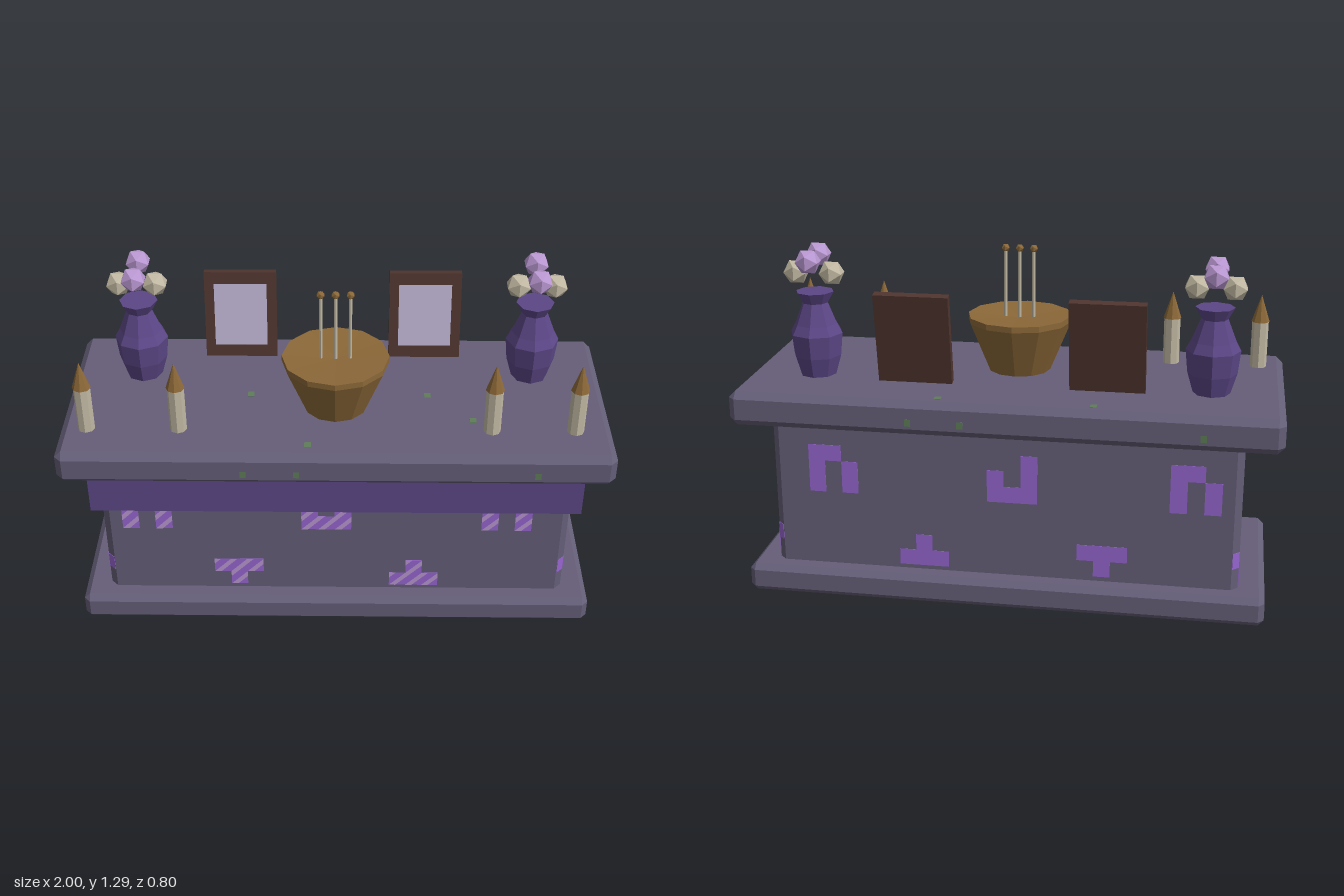
import * as THREE from 'three';
import { ConvexGeometry } from 'three/addons/geometries/ConvexGeometry.js';

const mat = (name, color) => {
  const m = new THREE.MeshStandardMaterial({ color, flatShading: true });
  m.name = name;
  return m;
};

export function createModel() {
  const stone = mat('stone', 0x655e78);
  const violet = mat('violet', 0x5c4787);
  const wax = mat('wax', 0xc2b9a3);
  const bronze = mat('bronze', 0x8b6838);
  const wood = mat('dark wood', 0x4f352f);
  const paper = mat('picture paper', 0xbcb2cf);
  const lilac = mat('lilac', 0xba98d2);
  const rune = mat('rune purple', 0x9765d0);
  const moss = mat('moss', 0x5f7d58);

  const root = new THREE.Group();
  root.name = 'altar';
  const add = (name, geo, material, x = 0, y = 0, z = 0, parent = root) => {
    const mesh = new THREE.Mesh(geo, material);
    mesh.name = name;
    mesh.position.set(x, y, z);
    parent.add(mesh);
    return mesh;
  };
  const group = (name, x = 0, y = 0, z = 0) => {
    const g = new THREE.Group();
    g.name = name;
    g.position.set(x, y, z);
    root.add(g);
    return g;
  };
  const lathe = (pts, sides) =>
    new THREE.LatheGeometry(pts.map(p => new THREE.Vector2(...p)), sides);

  // Box with every edge chamfered, given half sizes
  const chamferBox = (hx, hy, hz, c) => {
    const pts = [];
    for (const a of [-1, 1]) for (const b of [-1, 1]) for (const d of [-1, 1]) {
      pts.push(
        new THREE.Vector3(a * hx, b * (hy - c), d * (hz - c)),
        new THREE.Vector3(a * (hx - c), b * hy, d * (hz - c)),
        new THREE.Vector3(a * (hx - c), b * (hy - c), d * hz));
    }
    return new ConvexGeometry(pts);
  };

  // Stone slabs and cloth
  add('base', chamferBox(0.965, 0.055, 0.385, 0.022), stone, 0, 0.055, 0);
  add('body', chamferBox(0.867, 0.3, 0.315, 0.026), stone, 0, 0.38, 0);
  add('tableTop', chamferBox(1, 0.065, 0.4, 0.026), stone, 0, 0.735, 0);
  add('frontCloth', new THREE.BoxGeometry(1.8, 0.165, 0.026), violet, 0, 0.593, 0.337);

  // Rune signs: square cells on a thin plate, with diagonal light stripes
  const C = 0.062;
  const signs = {
    cup: [[-1, 0], [0, 0], [1, 0], [-1, 1], [1, 1], [-1, 2]],
    arch: [[-1, 0], [1, 0], [-1, 1], [1, 1], [0, 2], [1, 2]],
    tee: [[0, 0], [-1, 1], [0, 1], [1, 1]],
    step: [[-1, 0], [0, 0], [1, 0], [0, 1]],
  };
  const poly = pts => new THREE.Shape(pts.map(([x, y]) => new THREE.Vector2(x * C, y * C)));
  const stripe = new THREE.ShapeGeometry([
    poly([[-0.5, -0.5], [-0.1, -0.5], [0.5, 0.1], [0.5, 0.5]]),
    poly([[-0.5, 0.1], [-0.1, 0.5], [-0.5, 0.5]]),
  ]);
  const cell = new THREE.BoxGeometry(C, C, 0.003);
  const drawSign = (face, sign, u, v, flip, striped) => {
    for (const [i, j] of signs[sign]) {
      const x = u + flip * i * C, y = v + (j + 0.5) * C;
      add('runeCell', cell, rune, x, y, 0, face);
      if (striped) add('runeStripe', stripe, lilac, x, y, 0.0025, face);
    }
  };
  const wallSigns = [['arch', -0.702, 0.4], ['cup', -0.035, 0.4], ['arch', 0.636, 0.4],
    ['tee', -0.368, 0.127], ['step', 0.297, 0.125]];
  for (const back of [false, true]) {
    const face = group(back ? 'backRunes' : 'frontRunes', 0, 0, back ? -0.315 : 0.315);
    face.rotation.y = back ? Math.PI : 0;
    const flip = back ? -1 : 1;
    for (const [s, u, v] of wallSigns) drawSign(face, s, flip * u, v, flip, !back);
  }

  // Side signs and the small patches by the corners
  for (const side of [1, -1]) {
    const face = group(side > 0 ? 'leftRunes' : 'rightRunes', side * 0.867, 0, 0);
    face.rotation.y = side * Math.PI / 2;
    drawSign(face, 'cup', -side * 0.03, 0.4, side, true);
    const patch = (z, y, w, h) =>
      add('runePatch', new THREE.BoxGeometry(w, h, 0.003), rune, -side * z, y, 0, face);
    patch(0.28, 0.222, 0.02, 0.064);
    patch(-0.24, 0.157, 0.06, 0.056);
    patch(-0.28, 0.182, 0.02, 0.14);
    for (const z of [1, -1]) {
      const corner = add('cornerRune', new THREE.BoxGeometry(0.034, 0.062, 0.003), rune,
        side * 0.854, 0.222, z * 0.302);
      corner.rotation.y = Math.atan2(side, z);
    }
  }

  // Underside signs
  const under = group('undersideRunes', 0, 0.001, 0);
  under.rotation.x = Math.PI / 2;
  drawSign(under, 'step', 0.28, 0.17, 1, false);
  drawSign(under, 'tee', -0.39, 0.14, 1, false);
  drawSign(under, 'arch', -0.74, -0.15, 1, false);

  // Moss specks: x, z on the top, then x on the front and back edges
  for (const [x, z] of [[-0.33, -0.34], [0.23, -0.34], [-0.32, 0.01], [-0.1, 0.325],
    [0.5, 0.17], [0.34, 0.01]]) {
    add('mossSpeck', new THREE.BoxGeometry(0.024, 0.002, 0.03), moss, x, 0.8, z);
  }
  for (const x of [-0.33, -0.14, 0.72]) {
    add('mossSpeck', new THREE.BoxGeometry(0.022, 0.026, 0.002), moss, x, 0.72, 0.4);
    add('mossSpeck', new THREE.BoxGeometry(0.022, 0.026, 0.002), moss, -x, 0.72, -0.4);
  }
  for (const z of [0.33, 0.14, -0.34]) {
    add('mossSpeck', new THREE.BoxGeometry(0.002, 0.026, 0.022), moss, 1, 0.72, z);
  }

  // Candles
  for (const x of [-0.903, -0.57, 0.564, 0.865]) {
    const g = group('candle', x, 0.8, 0.232);
    add('candleStick', new THREE.CylinderGeometry(0.031, 0.031, 0.18, 8), wax, 0, 0.09, 0, g);
    add('candleFlame', new THREE.ConeGeometry(0.034, 0.103, 8), bronze, 0, 0.229, 0, g);
  }

  // Vases with four blossoms each
  const vaseGeo = lathe([[0, 0.005], [0.068, 0.005], [0.09, 0.08], [0.099, 0.165],
    [0.08, 0.2], [0.048, 0.28], [0.071, 0.322], [0, 0.322]], 8);
  const blossom = new THREE.IcosahedronGeometry(0.049, 0);
  for (const x of [-0.735, 0.732]) {
    const g = group('vase', x, 0.8, -0.132);
    add('vaseBody', vaseGeo, violet, 0, 0, 0, g);
    for (const s of [-1, 1]) {
      add('lilacBlossom', blossom, lilac, 0, 0.446, s * 0.067, g);
      add('paleBlossom', blossom, wax, s * 0.067, 0.392, 0, g);
    }
  }

  // Incense bowl, filled almost to the rim
  const bowl = group('incenseBowl', -0.003, 0.8, 0.068);
  add('bowl', lathe([[0, 0], [0.118, 0], [0.155, 0.09], [0.196, 0.19], [0.196, 0.212],
    [0, 0.2]], 12), bronze, 0, 0, 0, bowl);
  for (const x of [-0.053, 0, 0.053]) {
    add('incenseStick', new THREE.CylinderGeometry(0.007, 0.007, 0.27, 6), wax, x, 0.325, 0, bowl);
    add('incenseTip', new THREE.IcosahedronGeometry(0.016, 0), bronze, x, 0.464, 0, bowl);
  }

  // Picture frames leaning back
  for (const x of [-0.368, 0.333]) {
    const g = group('pictureFrame', x, 0.993, -0.257);
    g.rotation.x = -0.17;
    add('frameBack', new THREE.BoxGeometry(0.272, 0.34, 0.022), wood, 0, 0, -0.004, g);
    for (const s of [-1, 1]) {
      add('frameSide', new THREE.BoxGeometry(0.036, 0.34, 0.012), wood, s * 0.118, 0, 0.012, g);
      add('frameRail', new THREE.BoxGeometry(0.2, 0.046, 0.012), wood, 0, s * 0.147, 0.012, g);
    }
    add('picture', new THREE.BoxGeometry(0.2, 0.248, 0.008), paper, 0, 0, 0.011, g);
  }
  return root;
}
